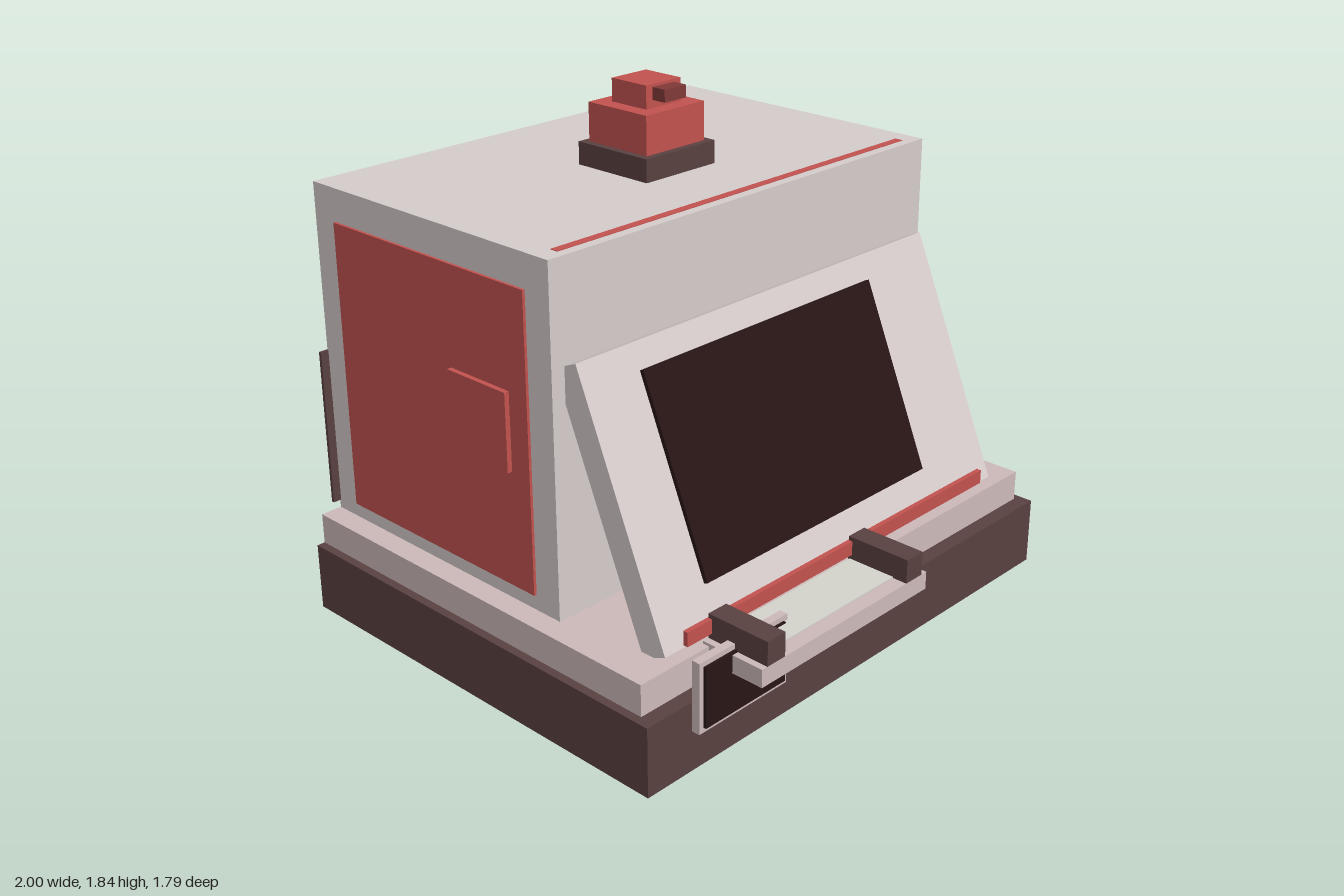
import * as THREE from 'three';

const paint = (color) => new THREE.MeshStandardMaterial({ color });
const mats = {
  shell: paint(0xd6cccc),
  ledge: paint(0xcdbaba),
  dark: paint(0x5a4141),
  red: paint(0xc2524f),
  maroon: paint(0x803a38),
  screen: paint(0x281515),
  plate: paint(0xd4d4cc),
};

export function createModel() {
  const model = new THREE.Group();

  // Box given by its extents along each axis
  const block = (name, mat, [x0, x1], [y0, y1], [z0, z1]) => {
    const mesh = new THREE.Mesh(new THREE.BoxGeometry(x1 - x0, y1 - y0, z1 - z0), mats[mat]);
    mesh.name = name;
    mesh.position.set((x0 + x1) / 2, (y0 + y1) / 2, (z0 + z1) / 2);
    model.add(mesh);
    return mesh;
  };

  // Foundation, ledge and main building
  block('base', 'dark', [-1, 1], [0, 0.245], [-0.89, 0.735]);
  block('ledge', 'ledge', [-0.97, 0.97], [0.245, 0.355], [-0.89, 0.68]);
  block('body', 'shell', [-0.89, 0.89], [0.355, 1.545], [-0.89, 0.245]);
  block('roofStripe', 'red', [-0.82, 0.82], [1.53, 1.547], [0.18, 0.21]);
  block('backPanel', 'dark', [-0.92, 0.81], [0.385, 0.95], [-0.897, -0.885]);

  // Side panels, each with a small raised hatch
  for (const [side, s] of [['left', 1], ['right', -1]]) {
    const span = (a, b) => (s > 0 ? [a, b] : [-b, -a]);
    block(side + 'Panel', 'red', span(0.88, 0.9), [0.41, 1.43], [-0.78, 0.14]);
    block(side + 'Hatch', 'red', span(0.89, 0.918), [0.815, 1.085], [-0.21, 0.06]);
  }

  // Stepped roof beacon
  block('beaconBase', 'dark', [-0.162, 0.162], [1.545, 1.625], [-0.4, -0.08]);
  block('beaconBody', 'red', [-0.136, 0.136], [1.625, 1.76], [-0.375, -0.105]);
  block('beaconHead', 'red', [-0.08, 0.08], [1.76, 1.84], [-0.32, -0.16]);
  block('beaconNose', 'maroon', [-0.05, 0.05], [1.787, 1.83], [-0.16, -0.105]);

  // Leaning front slab with a screen floating before it
  const slab = block('frontSlab', 'shell', [-0.838, 0.835], [0.319, 1.239], [0.376, 0.476]);
  const screen = block('screen', 'screen', [-0.65, 0.43], [0.52, 1.196], [0.502, 0.517]);
  slab.rotation.x = screen.rotation.x = -0.4;
  block('frontStripe', 'red', [-0.76, 0.755], [0.385, 0.435], [0.652, 0.67]);

  // Tray with two arms
  block('tray', 'ledge', [-0.677, 0.132], [0.302, 0.365], [0.655, 0.895]);
  block('trayPlate', 'plate', [-0.62, 0.07], [0.36, 0.369], [0.66, 0.84]);
  for (const x of [-0.613, 0.065]) {
    block('trayArm', 'dark', [x - 0.04, x + 0.04], [0.365, 0.45], [0.655, 0.895]);
  }

  // Small framed sign below the tray
  block('signFrame', 'ledge', [-0.81, -0.412], [0.142, 0.39], [0.735, 0.765]);
  block('signFace', 'screen', [-0.792, -0.43], [0.16, 0.372], [0.76, 0.776]);

  return model;
}
